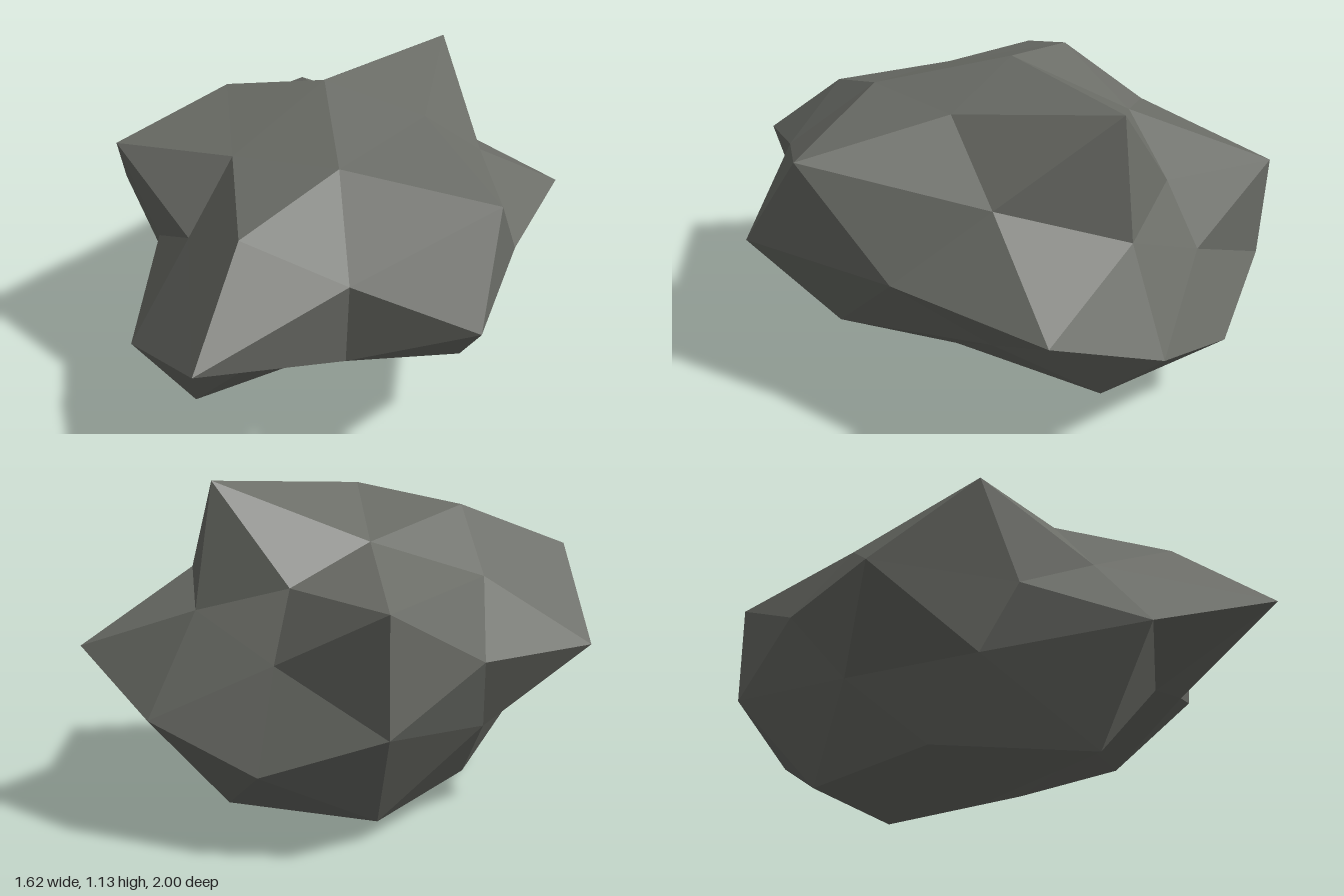
import * as THREE from 'three';

// Radius of each corner of a once-divided icosahedron. Families are named by
// the axes a corner leans along (longest first when it uses all three);
// entries run through the sign combinations ++, -+, +-, -- of those axes.
const RADII = {
  x: [0.74, 0.847],
  y: [0.72, 0.773],
  z: [0.908, 0.586],
  xy: [0.722, 0.732, 0.69, 0.756],
  yz: [0.725, 0.64, 0.569, 0.81],
  xz: [0.895, 0.586, 0.91, 0.70],
  longX: [0.925, 0.845, 0.782, 0.65, 0.655, 0.66, 0.665, 0.665],
  longY: [0.693, 0.62, 0.585, 0.92, 0.915, 0.59, 0.848, 0.86],
  longZ: [0.715, 0.564, 0.668, 0.80, 0.63, 0.808, 0.80, 0.80],
};

function radiusFor(dir) {
  const axes = ['x', 'y', 'z'].filter((a) => Math.abs(dir[a]) > 0.01);
  const longest = axes.reduce((a, b) => (Math.abs(dir[b]) > Math.abs(dir[a]) ? b : a));
  const family = axes.length === 3 ? 'long' + longest.toUpperCase() : axes.join('');
  const index = axes.reduce((sum, a, i) => sum + (dir[a] < 0 ? 1 << i : 0), 0);
  return RADII[family][index];
}

export function createModel() {
  const stone = new THREE.MeshStandardMaterial({ color: 0x6b6d67 });
  stone.name = 'stone grey';
  stone.flatShading = true;

  // Boulder: push each corner in or out, then flatten and lengthen the whole
  const geometry = new THREE.IcosahedronGeometry(1, 1);
  const position = geometry.attributes.position;
  const stretch = new THREE.Vector3(1, 0.75, 1.25);
  const centre = new THREE.Vector3(0.035, 0.583, -0.135);
  const v = new THREE.Vector3();
  for (let i = 0; i < position.count; i++) {
    v.fromBufferAttribute(position, i).normalize();
    v.multiplyScalar(radiusFor(v)).multiply(stretch).add(centre);
    position.setXYZ(i, v.x, v.y, v.z);
  }
  geometry.computeVertexNormals();

  const boulder = new THREE.Mesh(geometry, stone);
  boulder.name = 'boulder';

  const model = new THREE.Group();
  model.name = 'rock';
  model.add(boulder);
  return model;
}
